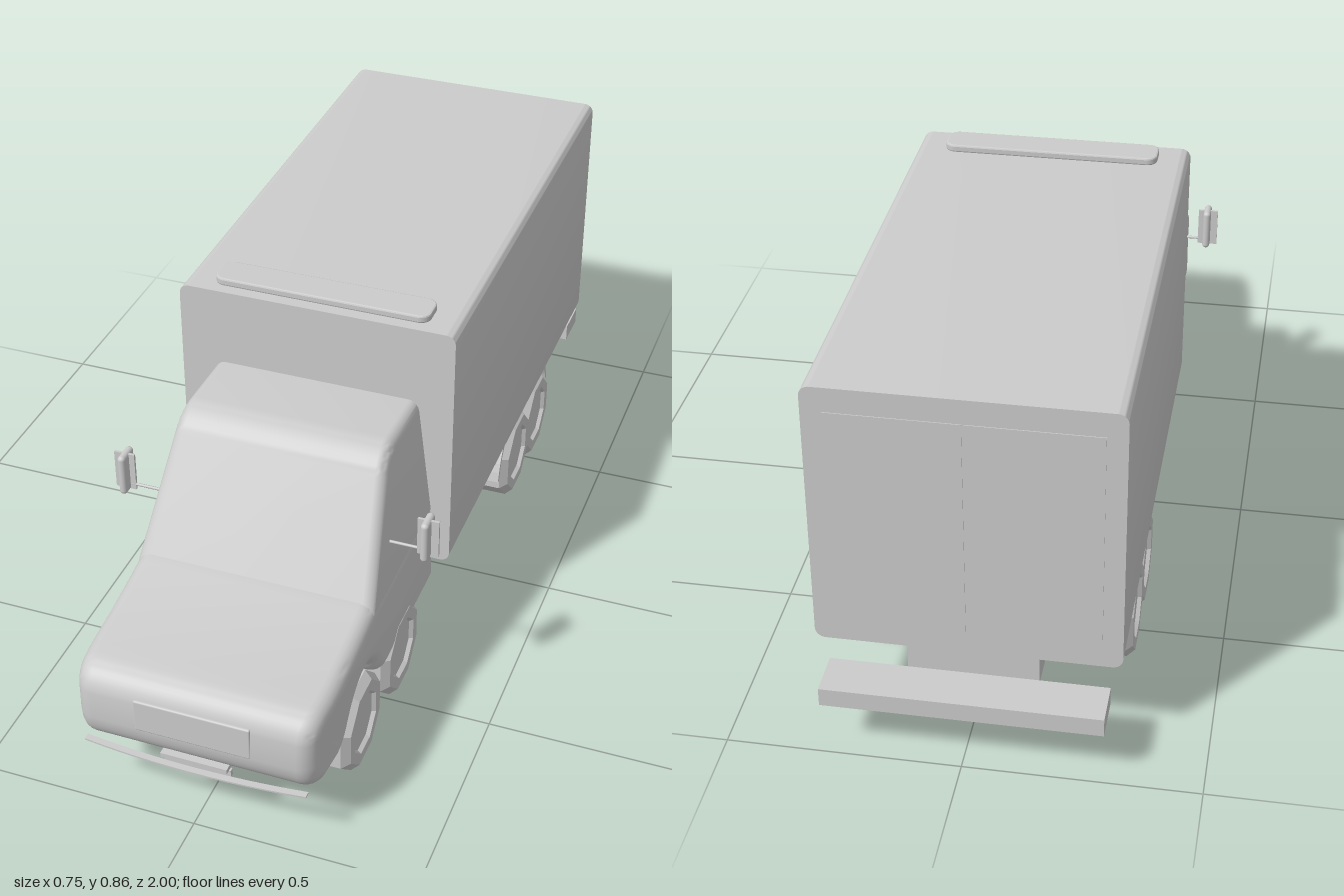
import * as THREE from 'three';
import { toCreasedNormals } from 'three/addons/utils/BufferGeometryUtils.js';
import { RoundedBoxGeometry } from 'three/addons/geometries/RoundedBoxGeometry.js';

const grey = new THREE.MeshStandardMaterial({ color: 0xcccccc, side: THREE.DoubleSide });
const faceted = new THREE.MeshStandardMaterial({ color: 0xcccccc, flatShading: true });

function add(parent, name, geometry, x = 0, y = 0, z = 0, material = grey) {
  const mesh = new THREE.Mesh(geometry, material);
  mesh.name = name;
  mesh.position.set(x, y, z);
  parent.add(mesh);
  return mesh;
}

// Box given by its limits on each axis
function block(parent, name, [x0, x1], [y0, y1], [z0, z1]) {
  return add(parent, name, new THREE.BoxGeometry(x1 - x0, y1 - y0, z1 - z0),
    (x0 + x1) / 2, (y0 + y1) / 2, (z0 + z1) / 2);
}

// Side outline drawn as (z, y), extruded across x and centred
function across(shape, width, bevel = 0) {
  const g = new THREE.ExtrudeGeometry(shape, {
    depth: width - 2 * bevel, curveSegments: 10, bevelEnabled: bevel > 0,
    bevelThickness: bevel, bevelSize: bevel, bevelOffset: -bevel, bevelSegments: 5,
  });
  g.translate(0, 0, -(width - 2 * bevel) / 2);
  g.rotateY(-Math.PI / 2);
  return g;
}

function roundedRect(w, h, r) {
  const s = new THREE.Shape(), x = w / 2, y = h / 2;
  s.absarc(x - r, y - r, r, 0, Math.PI / 2);
  s.absarc(-x + r, y - r, r, Math.PI / 2, Math.PI);
  s.absarc(-x + r, -y + r, r, Math.PI, Math.PI * 1.5);
  s.absarc(x - r, -y + r, r, Math.PI * 1.5, Math.PI * 2);
  return s;
}

function buildCab(truck) {
  const cab = new THREE.Group();
  cab.name = 'cab';
  truck.add(cab);

  // Lower body with bonnet and front wheel arch
  const s = new THREE.Shape();
  s.moveTo(0.215, 0.145);
  s.lineTo(0.565, 0.145);
  s.quadraticCurveTo(0.59, 0.15, 0.61, 0.195);
  s.quadraticCurveTo(0.695, 0.295, 0.78, 0.195);
  s.quadraticCurveTo(0.81, 0.15, 0.86, 0.145);
  s.lineTo(0.93, 0.145);
  s.quadraticCurveTo(0.98, 0.155, 0.985, 0.22);
  s.lineTo(0.983, 0.285);
  s.quadraticCurveTo(0.975, 0.335, 0.92, 0.342);
  s.quadraticCurveTo(0.76, 0.355, 0.63, 0.385);
  s.lineTo(0.215, 0.385);
  const body = across(s, 0.55, 0.035);
  // Nose narrows a little toward the bumper
  const p = body.attributes.position;
  for (let i = 0; i < p.count; i++) {
    const t = Math.max(0, (p.getZ(i) - 0.85) / 0.135);
    p.setX(i, p.getX(i) * (1 - 0.05 * t * t));
  }
  add(cab, 'cabBody', toCreasedNormals(body, 0.6));

  // Tapered upper cab with raked windscreen
  const u = new THREE.Shape();
  u.moveTo(0.215, 0.35);
  u.lineTo(0.655, 0.35);
  u.lineTo(0.49, 0.615);
  u.quadraticCurveTo(0.463, 0.66, 0.41, 0.662);
  u.lineTo(0.215, 0.655);
  const top = across(u, 0.55, 0.025);
  const q = top.attributes.position;
  for (let i = 0; i < q.count; i++) {
    q.setX(i, q.getX(i) * (1 - 0.13 * Math.max(0, q.getY(i) - 0.36) / 0.29));
  }
  add(cab, 'upperCab', toCreasedNormals(top, 0.6));

  // Grille, plates and lamps
  add(cab, 'grille', new RoundedBoxGeometry(0.26, 0.08, 0.01, 2, 0.004), 0, 0.257, 0.981);
  block(cab, 'frontPlate', [-0.075, 0.075], [0.13, 0.147], [0.955, 0.965]);
  block(cab, 'plateHolder', [-0.075, 0.075], [0.157, 0.168], [0.95, 0.985]);
  for (const side of [-1, 1]) {
    const lamp = add(cab, 'headlight', new THREE.SphereGeometry(1, 16, 10), side * 0.232, 0.272, 0.958);
    lamp.scale.set(0.027, 0.02, 0.012);
    lamp.rotation.y = side * 0.5;
  }

  // Thin curved lip below the nose
  const lip = new THREE.Shape();
  lip.moveTo(-0.25, 0.975);
  lip.quadraticCurveTo(0, 1.005, 0.25, 0.975);
  lip.lineTo(0.25, 0.96);
  lip.quadraticCurveTo(0, 0.99, -0.25, 0.96);
  const lipGeo = new THREE.ExtrudeGeometry(lip, { depth: 0.004, bevelEnabled: false });
  lipGeo.rotateX(Math.PI / 2);
  add(cab, 'frontLip', lipGeo, 0, 0.152, 0.01);
}

function buildMirror(truck, side) {
  const mirror = new THREE.Group();
  mirror.name = side > 0 ? 'leftMirror' : 'rightMirror';
  truck.add(mirror);
  const arm = new THREE.CylinderGeometry(0.0035, 0.0035, 0.09, 8).rotateZ(Math.PI / 2);
  add(mirror, 'mirrorArm', arm, side * 0.31, 0.47, 0.515);
  add(mirror, 'mirrorHousing', new RoundedBoxGeometry(0.018, 0.1, 0.055, 4, 0.009), side * 0.349, 0.504, 0.516);
  block(mirror, 'mirrorPlate', [side * 0.351 - 0.024, side * 0.351 + 0.024], [0.457, 0.55], [0.512, 0.518]);
}

// Octagonal wheel with recessed hub facing outward
const wheelGeometry = new THREE.LatheGeometry([
  [0, -0.045], [0.068, -0.045], [0.074, -0.054], [0.1, -0.054], [0.117, -0.036],
  [0.117, 0.036], [0.1, 0.054], [0.074, 0.054], [0.068, 0.045], [0, 0.045],
].map(([r, h]) => new THREE.Vector2(r, h)), 8, Math.PI / 8)
  .rotateZ(-Math.PI / 2);

export function createModel() {
  const truck = new THREE.Group();
  truck.name = 'boxTruck';

  // Cargo box with rounded long edges
  const cargo = new THREE.ExtrudeGeometry(roundedRect(0.64, 0.61, 0.022),
    { depth: 1.165, bevelEnabled: false, curveSegments: 6 });
  add(truck, 'cargoBox', toCreasedNormals(cargo, 0.7), 0, 0.535, -0.91);
  for (const side of [-1, 1]) {
    add(truck, 'rearDoor', new THREE.BoxGeometry(0.275, 0.5, 0.003), side * 0.14, 0.535, -0.9105);
  }
  add(truck, 'roofBar', new THREE.ExtrudeGeometry(roundedRect(0.5, 0.08, 0.025),
    { depth: 0.01, bevelThickness: 0.004, bevelSize: 0.004, bevelOffset: -0.004, bevelSegments: 2 })
    .rotateX(-Math.PI / 2), 0, 0.844, 0.19);

  buildCab(truck);

  // Chassis, sloping up under the nose
  const frame = new THREE.Shape([[0.93, 0.155], [0.6, 0.1], [-0.66, 0.1], [-0.66, 0.235], [0.93, 0.235]]
    .map(([z, y]) => new THREE.Vector2(z, y)));
  add(truck, 'chassis', across(frame, 0.41));
  block(truck, 'underfloor', [-0.185, 0.185], [0.085, 0.105], [-0.25, 0.36]);
  block(truck, 'rearMount', [-0.14, 0.14], [0.12, 0.22], [-0.855, -0.66]);
  block(truck, 'mountHanger', [-0.1, 0.1], [0.22, 0.235], [-0.8, -0.66]);
  block(truck, 'rearBumper', [-0.295, 0.295], [0.125, 0.167], [-1, -0.9]);

  // Rear mudguard outline: a thin arch over both rear wheels
  const guard = new THREE.Shape();
  guard.moveTo(-0.225, 0.11);
  guard.quadraticCurveTo(-0.25, 0.24, -0.37, 0.246);
  guard.lineTo(-0.55, 0.25);
  guard.quadraticCurveTo(-0.65, 0.245, -0.668, 0.15);
  guard.lineTo(-0.66, 0.15);
  guard.quadraticCurveTo(-0.64, 0.235, -0.55, 0.24);
  guard.lineTo(-0.37, 0.236);
  guard.quadraticCurveTo(-0.26, 0.23, -0.235, 0.11);
  const guardGeometry = across(guard, 0.1);

  for (const side of [-1, 1]) {
    buildMirror(truck, side);
    add(truck, 'rearMudguard', guardGeometry, side * 0.25, 0, 0);
    for (const [name, x, z] of [
      ['frontWheel', 0.222, 0.695], ['secondWheel', 0.222, 0.44],
      ['thirdWheel', 0.257, -0.37], ['rearWheel', 0.257, -0.55],
    ]) add(truck, name, wheelGeometry, side * x, 0.1085, z, faceted);
  }
  return truck;
}
